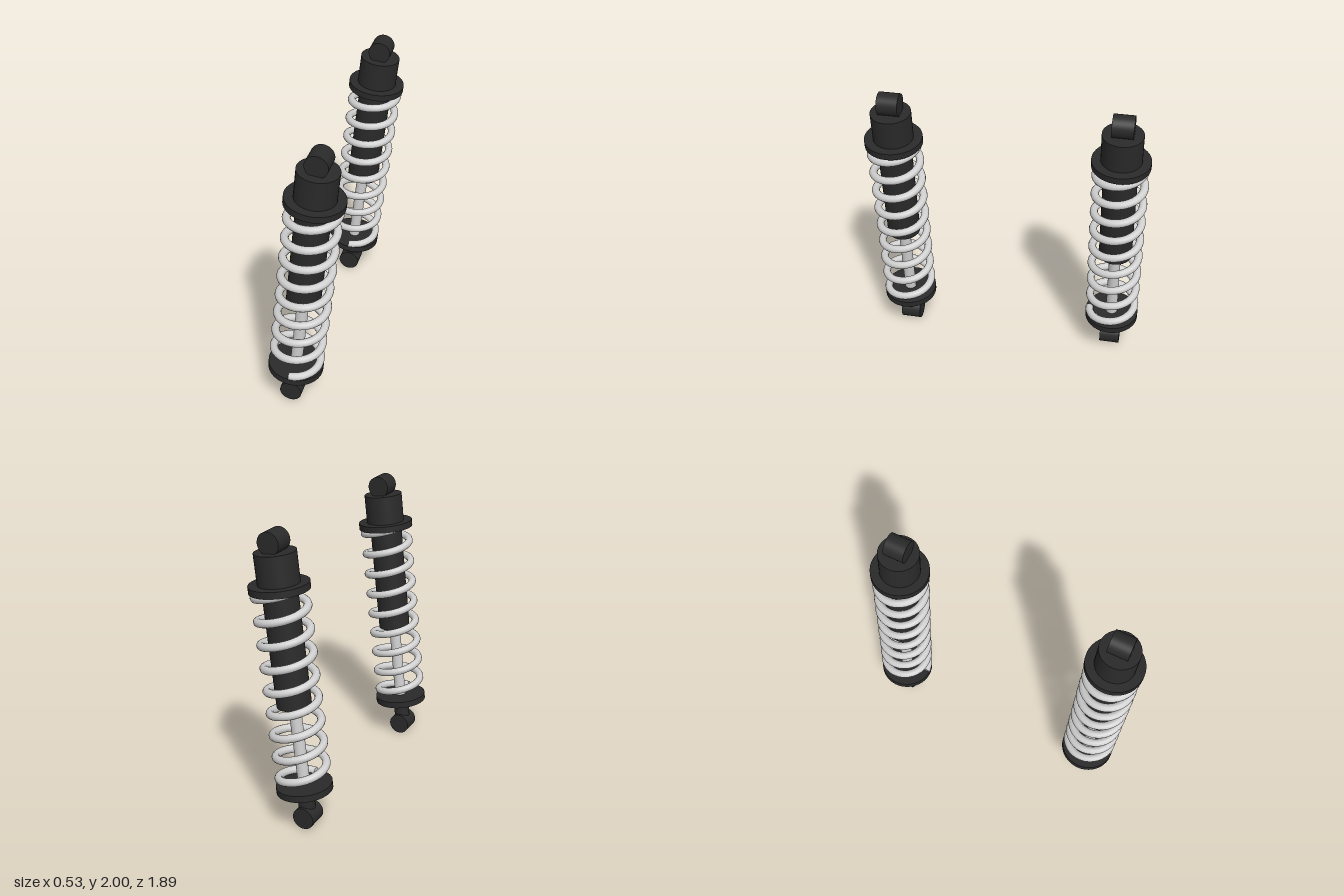
import * as THREE from 'three';

const black = new THREE.MeshStandardMaterial({ color: 0x2a2a2a });
black.name = 'black';
const steel = new THREE.MeshStandardMaterial({ color: 0xd0d0d0 });
steel.name = 'light steel';

// Coil that starts at the front (+z) and rises towards +x
class Coil extends THREE.Curve {
  constructor(radius, y0, pitch, turns) {
    super();
    Object.assign(this, { radius, y0, pitch, turns });
  }
  getPoint(t, target = new THREE.Vector3()) {
    const n = t * this.turns, a = n * Math.PI * 2;
    return target.set(Math.sin(a) * this.radius, this.y0 + n * this.pitch, Math.cos(a) * this.radius);
  }
}

function add(group, name, geometry, material) {
  const mesh = new THREE.Mesh(geometry, material);
  mesh.name = name;
  group.add(mesh);
  return mesh;
}

// Upright cylinder between two heights on the damper's axis
function rod(group, name, radius, bottom, top, material = black) {
  const geometry = new THREE.CylinderGeometry(radius, radius, top - bottom, 40);
  add(group, name, geometry, material).position.y = (bottom + top) / 2;
}

function createDamper() {
  const g = new THREE.Group();
  const eyeY = 0.931;

  // Mounting eyes, lying along z
  for (const [name, y] of [['upperEye', eyeY], ['lowerEye', -eyeY]]) {
    const eye = add(g, name, new THREE.CylinderGeometry(0.075, 0.075, 0.14, 40), black);
    eye.rotation.x = Math.PI / 2;
    eye.position.y = y;
  }

  // Body, piston rod and spring seats
  rod(g, 'upperCap', 0.134, 0.647, 0.87);
  rod(g, 'upperSpringSeat', 0.193, 0.625, 0.67);
  rod(g, 'damperBody', 0.113, -0.141, 0.647);
  rod(g, 'pistonRod', 0.04, -0.721, -0.141, steel);
  rod(g, 'lowerSpringSeat', 0.187, -0.744, -0.698);
  rod(g, 'lowerNeck', 0.056, -eyeY, -0.73);

  // Spring with a cap on each cut end
  const coil = new Coil(0.161, -0.694, 0.1542, 8.66), wire = 0.027;
  add(g, 'spring', new THREE.TubeGeometry(coil, 300, wire, 12), steel);
  for (const [t, sign] of [[0, -1], [1, 1]]) {
    const end = add(g, 'springEnd', new THREE.CircleGeometry(wire, 12), steel);
    end.position.copy(coil.getPoint(t));
    end.quaternion.setFromUnitVectors(new THREE.Vector3(0, 0, 1), coil.getTangent(t).multiplyScalar(sign));
  }
  return g;
}

export function createModel() {
  const model = new THREE.Group();
  model.name = 'shockAbsorbers';
  // Front and rear dampers lean the same way
  for (const [name, z] of [['frontDamper', 0.752], ['rearDamper', -0.752]]) {
    const damper = createDamper();
    damper.name = name;
    damper.position.set(0, 1, z);
    damper.rotation.z = -0.1105;
    model.add(damper);
  }
  return model;
}
